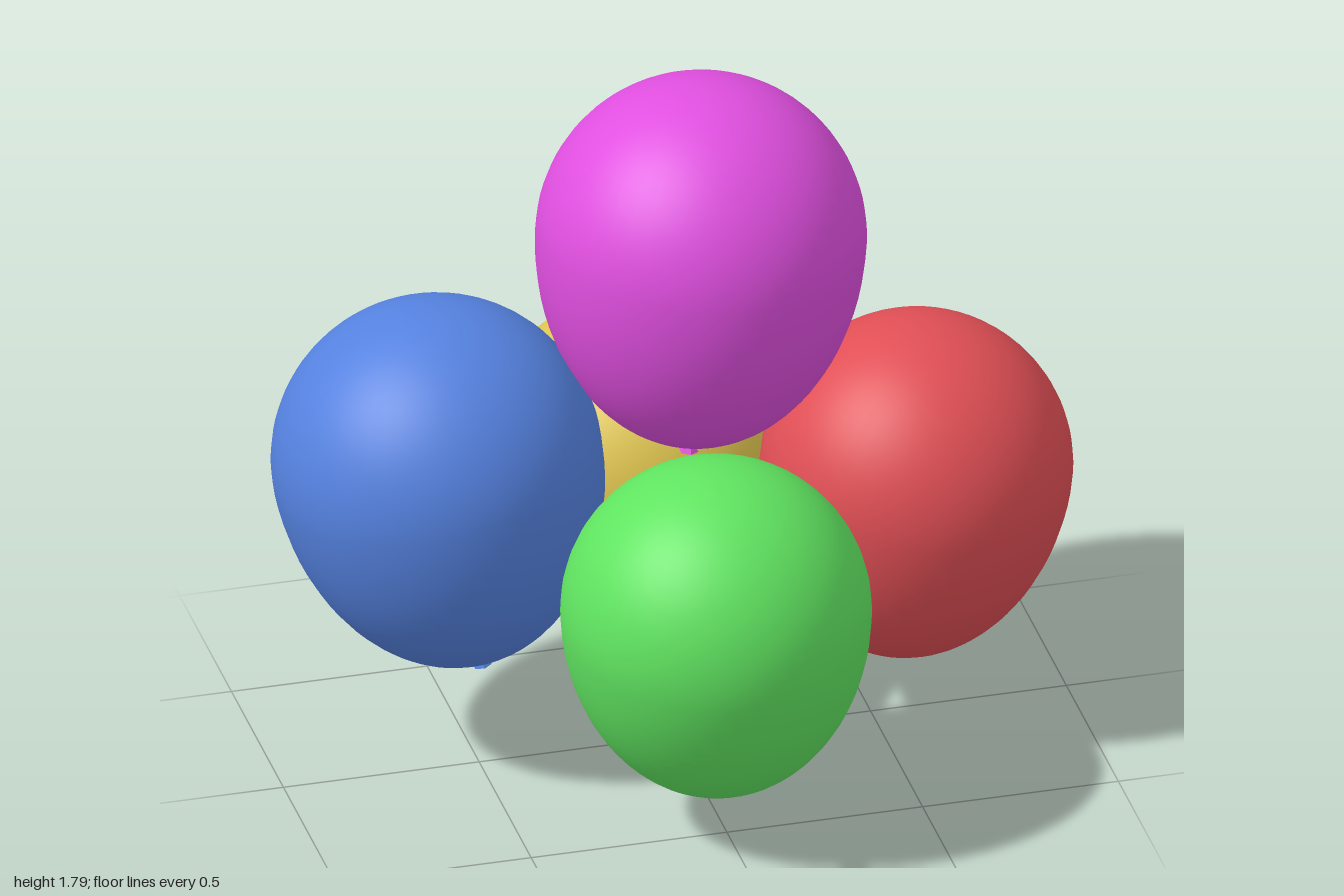
import * as THREE from 'three';

// Balloon profile for unit radius: round crown, longer tapering lower half
const TIP = 1.36;
const profile = [];
for (let i = 0; i <= 40; i++) {
  const a = -Math.PI / 2 + (Math.PI * i) / 40;
  profile.push(new THREE.Vector2(Math.max(0, Math.cos(a)), Math.sin(a) * (a < 0 ? TIP : 1)));
}
const skinGeometry = new THREE.LatheGeometry(profile, 48);

// Small faceted knot, point up against the tip
const knotGeometry = new THREE.ConeGeometry(0.06, 0.12, 6).translate(0, -1.415, 0);

// centre = middle of the widest ring, knot = position of the tied end
const balloons = [
  { name: 'purple', color: 0xe04fe0, radius: 0.41, centre: [0.08, 1.38, -0.05], knot: [0.05, 0.8, -0.05] },
  { name: 'blue', color: 0x5582e0, radius: 0.41, centre: [-0.59, 0.835, -0.07], knot: [-0.48, 0.26, -0.06] },
  { name: 'red', color: 0xe04f55, radius: 0.387, centre: [0.608, 0.707, 0.036], knot: [0.55, 0.17, -0.038] },
  { name: 'green', color: 0x60e460, radius: 0.385, centre: [-0.025, 0.63, 0.49], knot: [0.01, 0.095, 0.38] },
  { name: 'yellow', color: 0xdfc550, radius: 0.377, centre: [0.037, 0.553, -0.503], knot: [0.036, 0.025, -0.42] },
];

function makeBalloon({ name, color, radius, centre, knot }) {
  const balloon = new THREE.Group();
  balloon.name = `${name}Balloon`;

  const skin = new THREE.Mesh(skinGeometry, new THREE.MeshStandardMaterial({ color }));
  skin.name = `${name}Skin`;
  const tie = new THREE.Mesh(knotGeometry, new THREE.MeshStandardMaterial({ color, flatShading: true }));
  tie.name = `${name}Knot`;
  balloon.add(skin, tie);

  // Lean the balloon so its axis runs from the knot through the centre
  const middle = new THREE.Vector3(...centre);
  const axis = middle.clone().sub(new THREE.Vector3(...knot)).normalize();
  balloon.position.copy(middle);
  balloon.quaternion.setFromUnitVectors(new THREE.Vector3(0, 1, 0), axis);
  balloon.scale.setScalar(radius);
  return balloon;
}

export function createModel() {
  const group = new THREE.Group();
  group.name = 'balloonBunch';
  for (const spec of balloons) group.add(makeBalloon(spec));
  return group;
}
